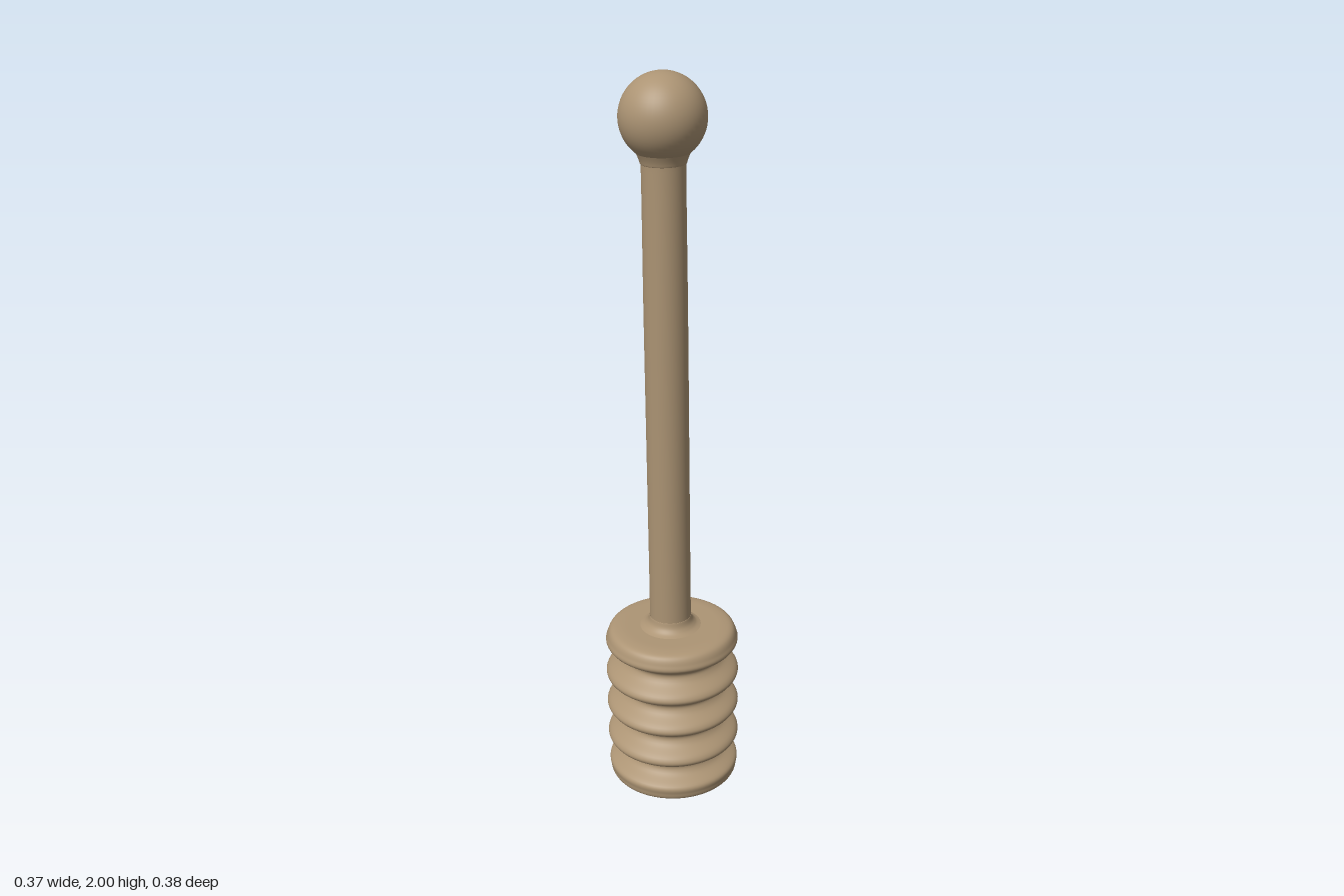
import * as THREE from 'three';

// Smooth lathe through a handful of [radius, height] points
function turned(name, points, divisions, material) {
  const curve = new THREE.SplineCurve(points.map(([r, y]) => new THREE.Vector2(r, y)));
  const profile = curve.getPoints(divisions);
  profile.forEach((p) => { p.x = Math.max(p.x, 0); });
  const mesh = new THREE.Mesh(new THREE.LatheGeometry(profile, 64), material);
  mesh.name = name;
  return mesh;
}

export function createModel() {
  const wood = new THREE.MeshStandardMaterial({ color: 0xac9474 });
  wood.name = 'lightWood';

  const dipper = new THREE.Group();
  dipper.name = 'honeyDipper';

  // Grooved head: five rounded ridges with narrow waists between them
  const ridges = [0.037, 0.133, 0.234, 0.335, 0.438];
  const profile = [[0.165, 0.004], [0.178, 0.01]];
  ridges.forEach((y, i) => {
    profile.push([0.182, y - 0.012], [0.181, y + 0.01]);
    if (i < ridges.length - 1) {
      const waist = (y + ridges[i + 1]) / 2;
      profile.push([0.146, waist - 0.014], [0.141, waist + 0.01]);
    }
  });
  profile.push([0.17, 0.467], [0.145, 0.474], [0.1, 0.475], [0.0, 0.475]);
  dipper.add(turned('groovedHead', profile, 150, wood));

  // Flat underside
  const base = new THREE.Mesh(new THREE.CircleGeometry(0.165, 64), wood);
  base.name = 'headBase';
  base.rotation.x = Math.PI / 2;
  base.position.y = 0.004;
  dipper.add(base);

  // Handle, flared where it meets the head and the knob
  const handle = turned('handle', [
    [0.09, 0.473], [0.07, 0.483], [0.059, 0.505], [0.057, 0.56],
    [0.057, 1.0], [0.057, 1.4], [0.056, 1.74], [0.059, 1.78], [0.072, 1.812],
  ], 70, wood);
  handle.position.x = -0.003;
  dipper.add(handle);

  // Round end knob
  const knob = new THREE.Mesh(new THREE.SphereGeometry(0.11, 48, 32), wood);
  knob.name = 'knob';
  knob.position.set(-0.003, 1.89, 0);
  dipper.add(knob);

  // Slight lean of the whole tool
  dipper.rotation.set(0.022, 0, 0.0085);
  dipper.position.set(0.003, 0.001, -0.004);

  const model = new THREE.Group();
  model.name = 'model';
  model.add(dipper);
  return model;
}
